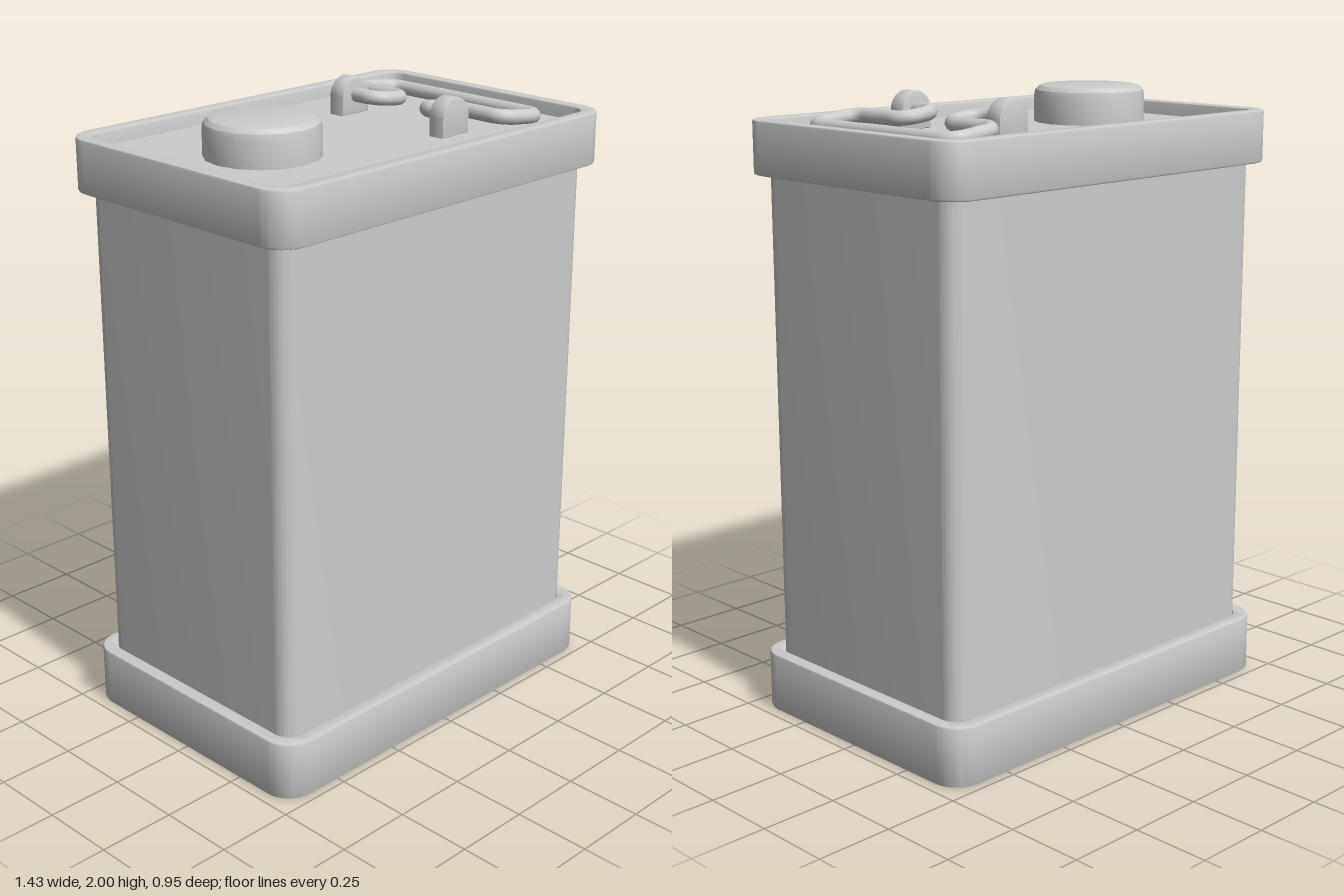
import * as THREE from 'three';
import { toCreasedNormals } from 'three/addons/utils/BufferGeometryUtils.js';

const material = new THREE.MeshStandardMaterial({ color: 0xcccccc });
const FLOOR = 1.88; // recessed lid level

function add(group, name, geometry) {
  const mesh = new THREE.Mesh(geometry, material);
  mesh.name = name;
  group.add(mesh);
  return mesh;
}

// Rounded rectangle outline with half sizes w, d and corner radius r
function roundedRect(w, d, r, target = new THREE.Shape()) {
  target.absarc(w - r, d - r, r, 0, Math.PI / 2);
  target.absarc(-w + r, d - r, r, Math.PI / 2, Math.PI);
  target.absarc(-w + r, -d + r, r, Math.PI, Math.PI * 1.5);
  target.absarc(w - r, -d + r, r, Math.PI * 1.5, Math.PI * 2);
  target.closePath();
  return target;
}

// Upright extrusion between two heights, with an optional edge bevel
function upright(shape, y0, y1, bevel = 0) {
  const g = new THREE.ExtrudeGeometry(shape, {
    depth: y1 - y0 - 2 * bevel, curveSegments: 8,
    bevelEnabled: bevel > 0, bevelSize: bevel, bevelThickness: bevel,
    bevelOffset: -bevel, bevelSegments: 2,
  });
  g.rotateX(-Math.PI / 2).translate(0, y0 + bevel, 0);
  return toCreasedNormals(g, 0.6);
}

// Polyline with rounded corners
function roundedPath(points, r) {
  const path = new THREE.CurvePath();
  let from = points[0];
  for (let i = 1; i < points.length - 1; i++) {
    const p = points[i];
    const toward = (q) => p.clone().add(q.clone().sub(p).setLength(r));
    const a = toward(points[i - 1]), b = toward(points[i + 1]);
    path.add(new THREE.LineCurve3(from, a));
    path.add(new THREE.CubicBezierCurve3(a, a.clone().lerp(p, 0.55), b.clone().lerp(p, 0.55), b));
    from = b;
  }
  path.add(new THREE.LineCurve3(from, points[points.length - 1]));
  return path;
}

export function createModel() {
  const model = new THREE.Group();
  model.name = 'battery';

  // Case, recessed inside both rims
  add(model, 'body', upright(roundedRect(0.67, 0.426, 0.055), 0.04, FLOOR));

  // Top and bottom rims
  for (const [name, y0, y1] of [['bottomRim', 0, 0.195], ['topRim', 1.755, 1.925]]) {
    const ring = roundedRect(0.716, 0.477, 0.095);
    ring.holes.push(roundedRect(0.67, 0.426, 0.055, new THREE.Path()));
    add(model, name, upright(ring, y0, y1, 0.008));
  }

  // Round terminal with softened top edge
  const profile = [[0.18, 0], [0.18, 0.085], [0.176, 0.103], [0.163, 0.116], [0.148, 0.12], [0, 0.12]]
    .map(([x, y]) => new THREE.Vector2(x, y));
  const cap = add(model, 'roundTerminal',
    toCreasedNormals(new THREE.LatheGeometry(profile, 16).toNonIndexed(), 0.5));
  cap.position.set(-0.34, FLOOR, 0);

  // Round-topped lugs holding the wire
  const lug = new THREE.Shape();
  lug.moveTo(-0.06, 0);
  lug.lineTo(0.06, 0);
  lug.lineTo(0.06, 0.06);
  lug.absarc(0, 0.06, 0.06, 0, Math.PI);
  lug.closePath();
  const lugGeometry = toCreasedNormals(new THREE.ExtrudeGeometry(lug, {
    depth: 0.048, curveSegments: 16, bevelEnabled: true,
    bevelSize: 0.006, bevelThickness: 0.006, bevelOffset: -0.006, bevelSegments: 2,
  }).translate(0, 0, -0.024), 0.6);
  for (const side of [-1, 1]) {
    add(model, side > 0 ? 'frontLug' : 'backLug', lugGeometry)
      .position.set(0.246, FLOOR, side * 0.217);
  }

  // Bent wire bail, sloping down away from the lugs
  const half = [[0.248, 0.21], [0.248, 0.092], [0.384, 0.092], [0.384, 0.321], [0.565, 0.321]];
  const outline = [...half, ...half.map(([x, z]) => [x, -z]).reverse()];
  const points = outline.map(([x, z]) => new THREE.Vector3(x, 1.943 - (x - 0.248) * 0.12, z));
  add(model, 'wireBail', new THREE.TubeGeometry(roundedPath(points, 0.055), 200, 0.024, 12));

  return model;
}
